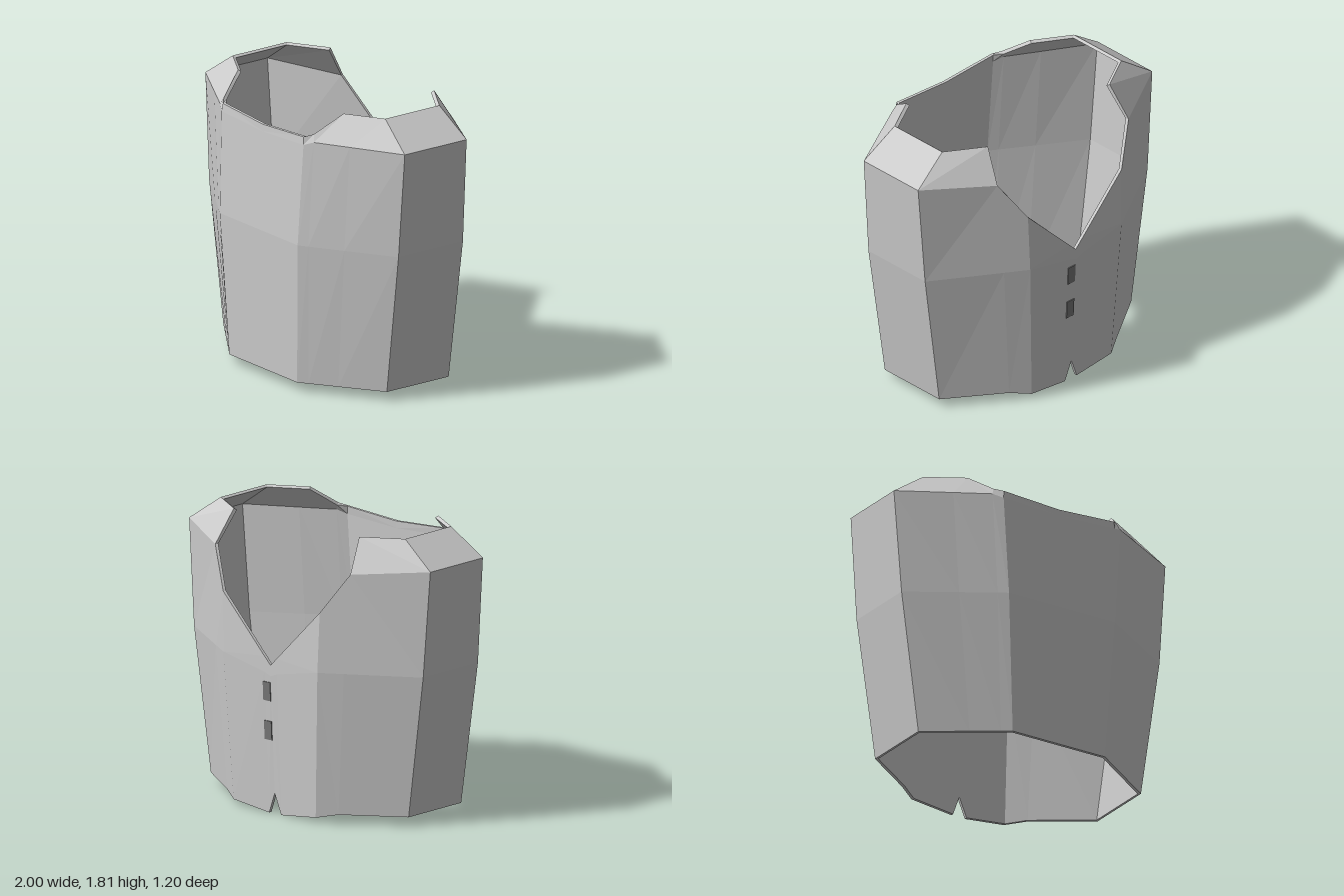
import * as THREE from 'three';

// Half of the shell (x >= 0): columns from front centre to back centre,
// each listing points from the hem up to the neck or shoulder edge.
const COLUMNS = [
  [[0, 0.06, 0.565], [0, 0.97, 0.6], [0, 1.6, 0.572], [0, 1.645, 0.57]],
  [[0.34, 0.06, 0.565], [0.39, 0.97, 0.6], [0.41, 1.62, 0.57], [0.405, 1.67, 0.565]],
  [[0.4, 0.06, 0.524], [0.45, 0.97, 0.563], [0.47, 1.645, 0.536], [0.45, 1.69, 0.52]],
  [[0.56, 0.06, 0.416], [0.65, 0.97, 0.438], [0.68, 1.645, 0.419], [0.53, 1.81, 0.35]],
  [[0.82, 0.06, 0.24], [0.95, 0.97, 0.25], [1, 1.645, 0.24], [0.765, 1.81, 0.21]],
  [[0.82, 0.06, -0.24], [0.95, 0.97, -0.25], [1, 1.645, -0.24], [0.765, 1.81, -0.21]],
  [[0.46, 0.06, -0.484], [0.53, 0.97, -0.513], [0.56, 1.6, -0.486], [0.52, 1.81, -0.36]],
  [[0.34, 0.035, -0.56], [0.39, 0.97, -0.6], [0.4, 1.35, -0.59]],
  [[0.05, 0, -0.555], [0.05, 0.9, -0.598], [0.05, 1.0, -0.598]],
  [[0, 0.13, -0.56], [0, 0.88, -0.598], [0, 0.95, -0.598]],
];
const THICKNESS = 0.02;

// Moves a point inward, across the wall
function inward([x, y, z], row) {
  const nx = x, nz = z / 0.36, k = THICKNESS / Math.hypot(nx, nz);
  const drop = row === 3 && y > 1.68 ? 0.012 : 0;
  return [x - nx * k, y - drop, z - nz * k];
}

function shellGeometry() {
  const outer = COLUMNS;
  const inner = COLUMNS.map((col) => col.map(inward));
  const positions = [];
  const tri = (a, b, c) => {
    positions.push(...a, ...b, ...c);
    for (const [x, y, z] of [a, c, b]) positions.push(-x, y, z);
  };
  const quad = (a, b, c, d) => { tri(a, b, c); tri(a, c, d); };

  // outer and inner walls
  for (let i = 0; i < outer.length - 1; i++) {
    const rows = Math.min(outer[i].length, outer[i + 1].length);
    for (let r = 0; r < rows - 1; r++) {
      quad(outer[i][r], outer[i + 1][r], outer[i + 1][r + 1], outer[i][r + 1]);
      quad(inner[i][r], inner[i][r + 1], inner[i + 1][r + 1], inner[i + 1][r]);
    }
  }

  // neck edge, stepping down at the end of the shoulder strap, and hem
  const neck = COLUMNS.map((col, i) => [i, col.length - 1]);
  neck.splice(7, 0, [6, 2]);
  for (let k = 0; k < neck.length - 1; k++) {
    const [i, r] = neck[k], [j, s] = neck[k + 1];
    quad(outer[i][r], outer[j][s], inner[j][s], inner[i][r]);
  }
  for (let i = 0; i < outer.length - 1; i++) {
    quad(outer[i][0], inner[i][0], inner[i + 1][0], outer[i + 1][0]);
  }

  const geometry = new THREE.BufferGeometry();
  geometry.setAttribute('position', new THREE.Float32BufferAttribute(positions, 3));
  geometry.computeVertexNormals();
  return geometry;
}

export function createModel() {
  const group = new THREE.Group();
  group.name = 'vest';

  const shell = new THREE.Mesh(
    shellGeometry(),
    new THREE.MeshStandardMaterial({ color: 0xcccccc, flatShading: true, side: THREE.DoubleSide })
  );
  shell.name = 'vestShell';
  group.add(shell);

  // two flat fasteners below the V neck
  const fastenerMaterial = new THREE.MeshStandardMaterial({ color: 0x777777 });
  for (const [y, z] of [[0.78, -0.592], [0.53, -0.58]]) {
    const fastener = new THREE.Mesh(new THREE.BoxGeometry(0.06, 0.12, 0.012), fastenerMaterial);
    fastener.name = 'fastener';
    fastener.position.set(0.033, y, z);
    fastener.rotation.x = -0.05;
    group.add(fastener);
  }
  return group;
}
